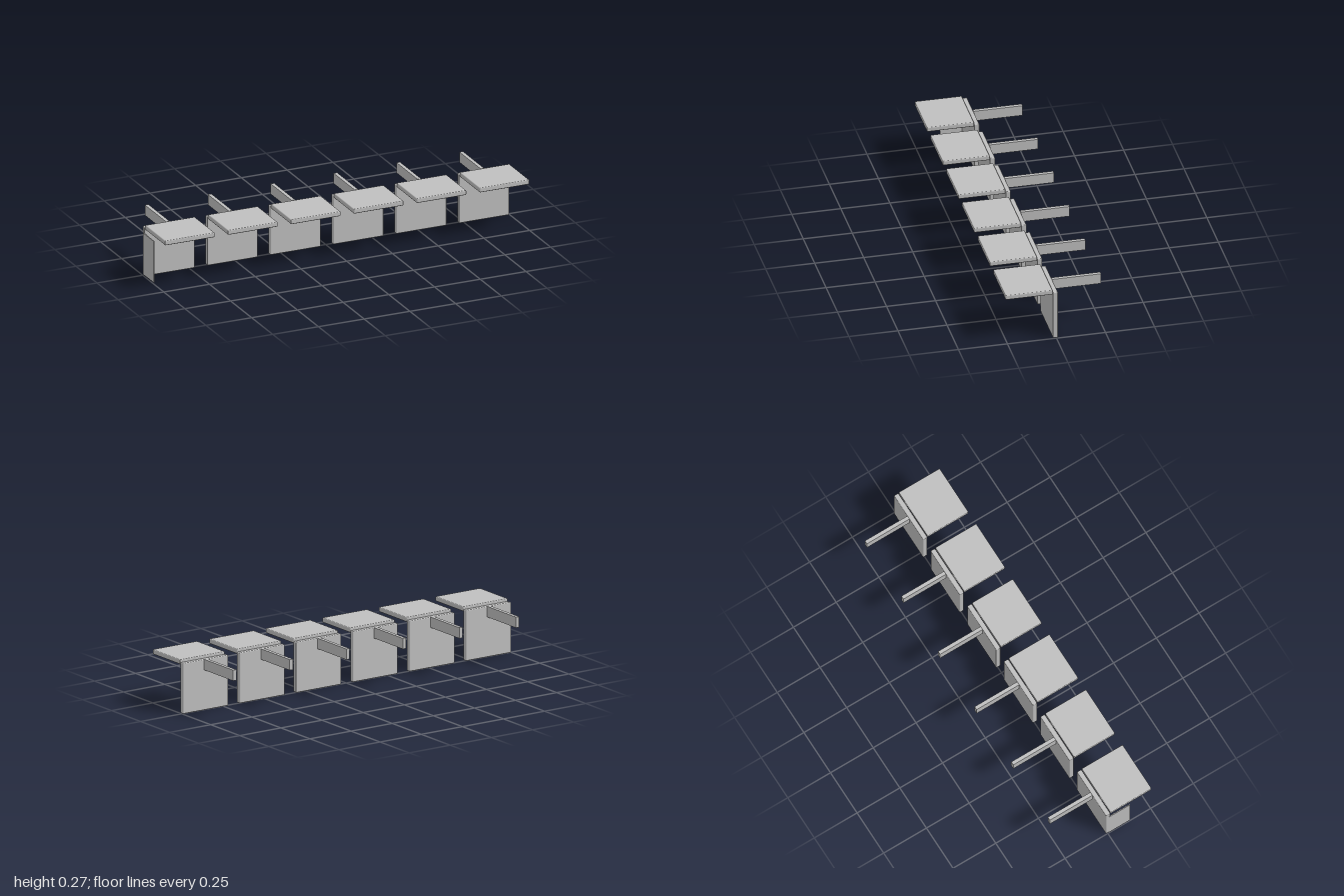
import * as THREE from 'three';
import { RoundedBoxGeometry } from 'three/addons/geometries/RoundedBoxGeometry.js';

const COUNT = 6;
const WIDTH = 0.272;
const FIRST = -0.86;
const SPACING = 0.344;

export function createModel() {
  const model = new THREE.Group();
  model.name = 'deskRow';
  const grey = new THREE.MeshStandardMaterial({ color: 0xbfbfbf });
  grey.name = 'grey';

  // Place a geometry by its centre
  function part(parent, name, geometry, x, y, z) {
    const mesh = new THREE.Mesh(geometry, grey);
    mesh.name = name;
    mesh.position.set(x, y, z);
    parent.add(mesh);
  }

  // Shared geometries: rounded boards and a plain square-edged arm
  const topBoard = new RoundedBoxGeometry(WIDTH, 0.025, 0.24, 2, 0.005);
  const backBoard = new RoundedBoxGeometry(WIDTH + 0.003, 0.261, 0.026, 2, 0.005);
  const armBar = new THREE.BoxGeometry(0.019, 0.055, 0.249);

  for (let i = 0; i < COUNT; i++) {
    const unit = new THREE.Group();
    unit.name = `unit${i + 1}`;
    unit.position.x = FIRST + i * SPACING;
    part(unit, 'top', topBoard, 0, 0.2625, 0.138);
    part(unit, 'back', backBoard, 0, 0.1315, 0.004);
    part(unit, 'arm', armBar, 0, 0.2355, -0.1335);
    model.add(unit);
  }

  // Thin upright panel closing the right-hand end of the row
  part(model, 'endPanel', new THREE.BoxGeometry(0.005, 0.22, 0.122), -0.9975, 0.118, 0.068);

  return model;
}
